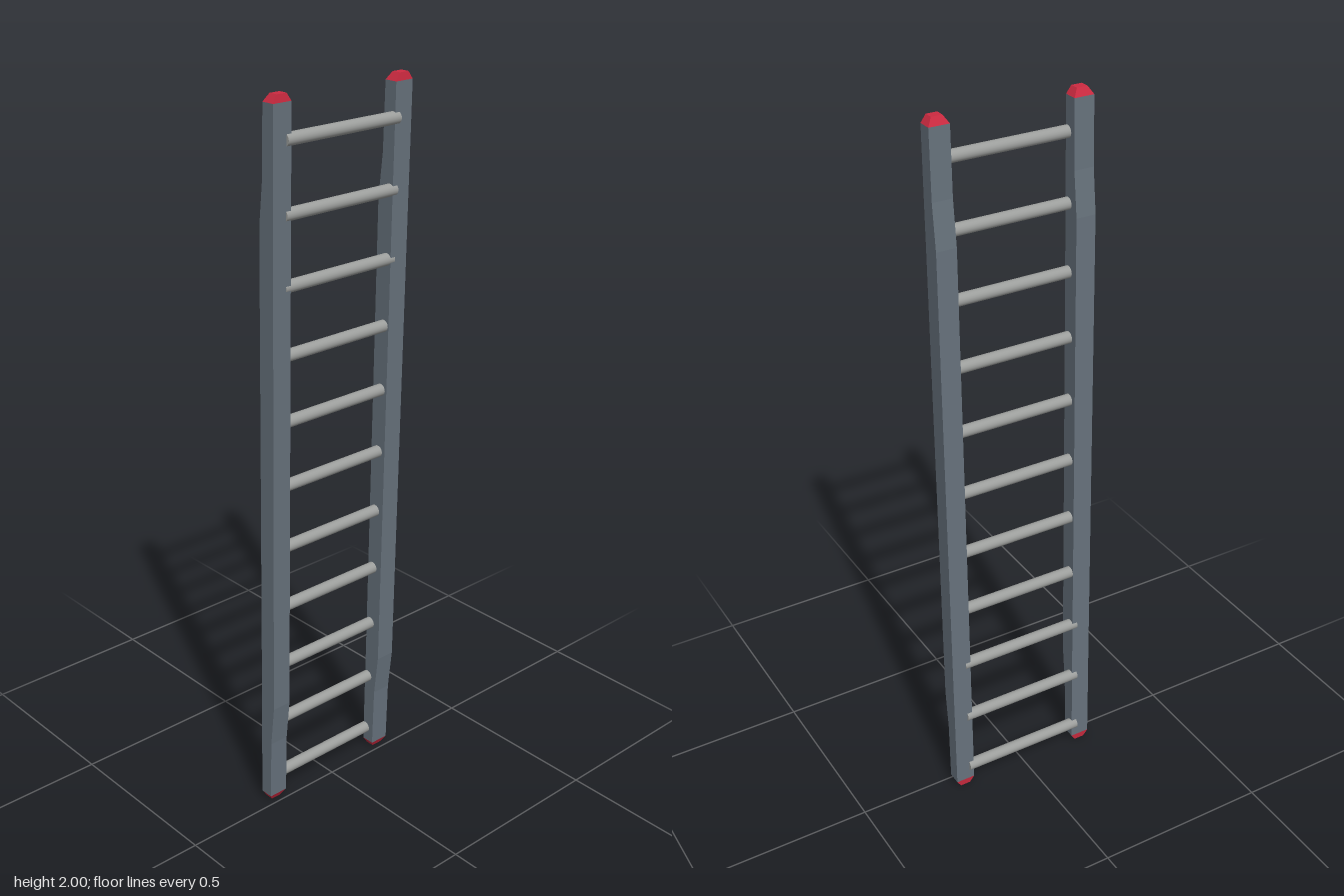
import * as THREE from 'three';

const railMaterial = new THREE.MeshStandardMaterial({ name: 'slate grey', color: 0x66717b });
const capMaterial = new THREE.MeshStandardMaterial({ name: 'red', color: 0xcc2a40 });
const rungMaterial = new THREE.MeshStandardMaterial({ name: 'light grey', color: 0x9c9e9c });

// Flat-sided solid through rectangular sections [y, halfWidth, backZ, frontZ], bottom to top
function loft(sections) {
  const rings = sections.map(([y, w, back, front]) => [
    [-w, y, front], [w, y, front], [w, y, back], [-w, y, back],
  ]);
  const positions = [];
  const quad = (a, b, c, d) => positions.push(...a, ...b, ...c, ...a, ...c, ...d);
  for (let s = 0; s < rings.length - 1; s++) {
    const lower = rings[s], upper = rings[s + 1];
    for (let i = 0; i < 4; i++) {
      const j = (i + 1) % 4;
      quad(lower[i], lower[j], upper[j], upper[i]);
    }
  }
  const first = rings[0];
  quad(first[3], first[2], first[1], first[0]);
  quad(...rings[rings.length - 1]);
  const geometry = new THREE.BufferGeometry();
  geometry.setAttribute('position', new THREE.Float32BufferAttribute(positions, 3));
  geometry.computeVertexNormals();
  return geometry;
}

export function createModel() {
  const ladder = new THREE.Group();
  ladder.name = 'ladder';
  const add = (name, geometry, material, x, y, z) => {
    const mesh = new THREE.Mesh(geometry, material);
    mesh.name = name;
    mesh.position.set(x, y, z);
    ladder.add(mesh);
    return mesh;
  };

  // Leaning rails, stepped thinner at the lower front and upper back
  const half = 0.028;
  const railGeometry = loft([
    [0.02, half, -0.047, -0.009],
    [0.2, half, -0.043, -0.003],
    [0.32, half, -0.04, 0.011],
    [1.68, half, -0.011, 0.04],
    [1.8, half, 0.003, 0.043],
    [1.98, half, 0.009, 0.047],
  ]);

  // Bevelled end caps
  const topCap = loft([[1.98, half, 0.009, 0.047], [2, 0.015, 0.02, 0.045]]);
  const bottomCap = loft([[0, 0.015, -0.045, -0.02], [0.02, half, -0.047, -0.009]]);

  for (const [side, x] of [['left', 0.196], ['right', -0.196]]) {
    add(side + 'Rail', railGeometry, railMaterial, x, 0, 0);
    add(side + 'TopCap', topCap, capMaterial, x, 0, 0);
    add(side + 'BottomCap', bottomCap, capMaterial, x, 0, 0);
  }

  // Round rungs following the lean of the rails
  const rungGeometry = new THREE.CylinderGeometry(0.0165, 0.0165, 0.366, 20);
  rungGeometry.rotateZ(Math.PI / 2);
  const count = 11;
  for (let i = 0; i < count; i++) {
    const t = i / (count - 1);
    add('rung' + (i + 1), rungGeometry, rungMaterial, 0, 0.063 + 1.827 * t, -0.0395 + 0.0765 * t);
  }
  return ladder;
}
